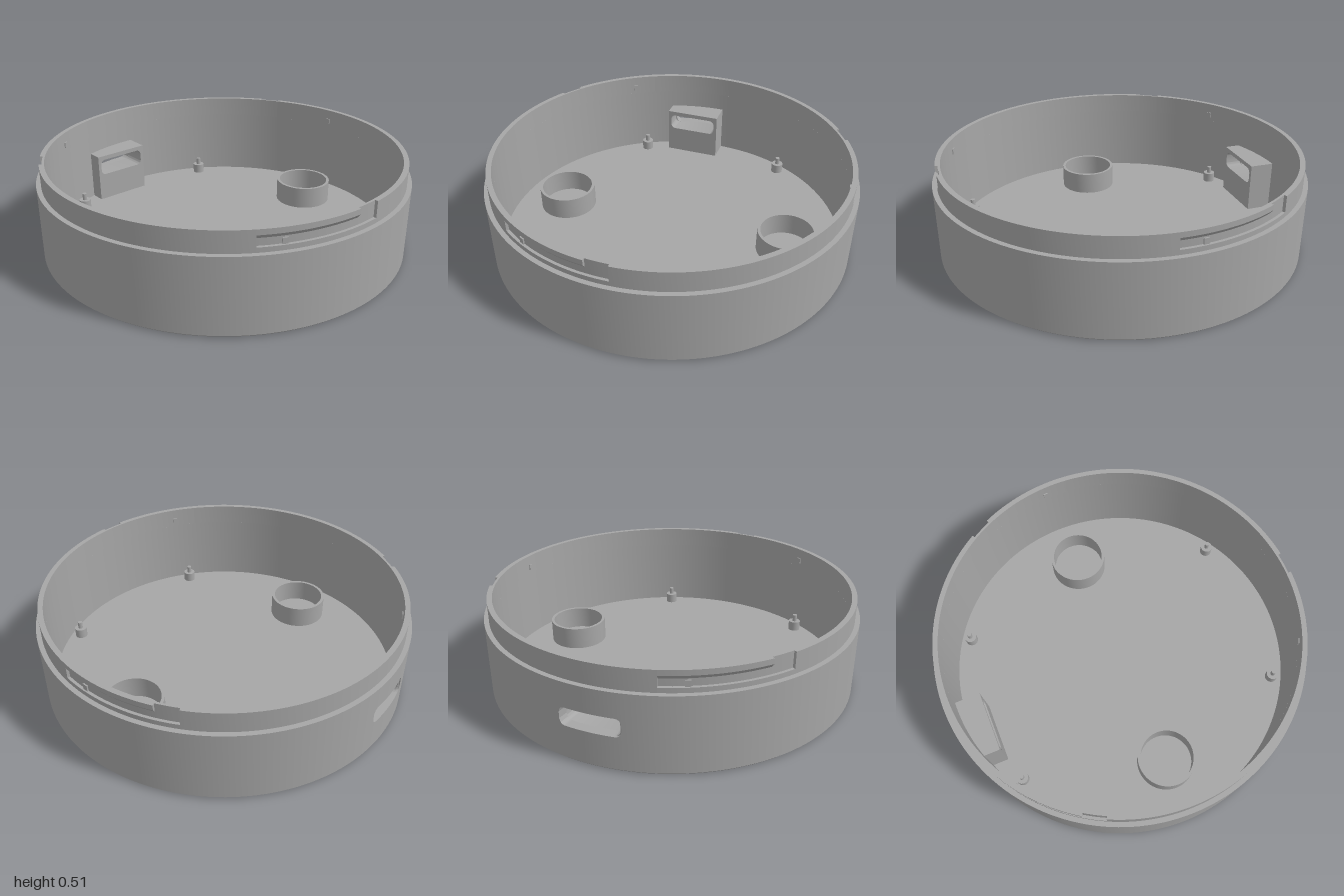
import * as THREE from 'three';
import { toCreasedNormals } from 'three/addons/utils/BufferGeometryUtils.js';

const RAD = Math.PI / 180;
const WALL_IN = 0.948, LIP_OUT = 0.975, RECESS = 0.96;
const FLOOR = 0.02, STEP = 0.405, TOP = 0.515;

// Sweeps a counter-clockwise [radius, y] profile around the y axis; the profile may depend on the angle.
function sweep(profileAt, from, to, steps) {
  const pos = [];
  const at = (i) => {
    const deg = from + ((to - from) * i) / steps, a = deg * RAD;
    return profileAt(deg).map(([r, y]) => [r * Math.cos(a), y, r * Math.sin(a)]);
  };
  for (let i = 0; i < steps; i++) {
    const p = at(i), q = at(i + 1);
    p.forEach((A, j) => {
      const k = (j + 1) % p.length;
      pos.push(...A, ...p[k], ...q[k], ...A, ...q[k], ...q[j]);
    });
  }
  if (to - from < 360) {
    for (const [i, deg] of [[0, from], [steps, to]]) {
      const ring = at(i);
      const flat = profileAt(deg).map(([r, y]) => new THREE.Vector2(r, y));
      for (const [a, b, c] of THREE.ShapeUtils.triangulateShape(flat, [])) {
        pos.push(...ring[a], ...(i ? ring[b] : ring[c]), ...(i ? ring[c] : ring[b]));
      }
    }
  }
  const g = new THREE.BufferGeometry();
  g.setAttribute('position', new THREE.Float32BufferAttribute(pos, 3));
  return toCreasedNormals(g, 0.45);
}

export function createModel() {
  const model = new THREE.Group();
  const grey = new THREE.MeshStandardMaterial({ color: 0xa6a6a6 });
  grey.name = 'grey plastic';

  const add = (name, geometry, parent = model) => {
    const mesh = new THREE.Mesh(geometry, grey);
    mesh.name = name;
    parent.add(mesh);
    return mesh;
  };
  const group = (name) => {
    const g = new THREE.Group();
    g.name = name;
    model.add(g);
    return g;
  };

  // Floor disc
  const floor = add('floor', new THREE.CylinderGeometry(0.955, 0.955, FLOOR, 128));
  floor.position.y = FLOOR / 2;

  // Outer wall, interrupted by a rounded port opening on the -x side
  const wall = group('outerWall');
  const port = { a0: 162.5, a1: 180, lo: 0.18, hi: 0.275, r: 0.03 };
  add('wall', sweep(() => [[WALL_IN, 0], [0.99, 0], [1, 0.01], [1, STEP], [WALL_IN, STEP]],
    port.a1, port.a0 + 360, 160), wall);
  const cornerRise = (deg) => {
    const d = Math.max(0, Math.min(deg - port.a0, port.a1 - deg)) * RAD;
    return d >= port.r ? 0 : port.r - Math.sqrt(port.r ** 2 - (port.r - d) ** 2);
  };
  add('wallBelowPort', sweep((deg) => {
    const y = port.lo + cornerRise(deg);
    return [[WALL_IN, 0], [0.99, 0], [1, 0.01], [1, y], [WALL_IN, y]];
  }, port.a0, port.a1, 48), wall);
  add('wallAbovePort', sweep((deg) => {
    const y = port.hi - cornerRise(deg);
    return [[WALL_IN, y], [1, y], [1, STEP], [WALL_IN, STEP]];
  }, port.a0, port.a1, 48), wall);

  // Stepped lip with three twist-lock slots: open entry, then a channel under a bevelled ledge
  const lip = group('lip');
  const plain = [[WALL_IN, STEP], [LIP_OUT, STEP], [LIP_OUT, TOP], [WALL_IN, TOP]];
  const entry = [[WALL_IN, STEP], [LIP_OUT, STEP], [LIP_OUT, 0.43], [RECESS, 0.43], [RECESS, TOP], [WALL_IN, TOP]];
  const channel = [[WALL_IN, STEP], [LIP_OUT, STEP], [LIP_OUT, 0.43], [RECESS, 0.43], [RECESS, 0.467],
    [LIP_OUT, 0.487], [LIP_OUT, TOP], [WALL_IN, TOP]];
  for (const start of [0, 120, 240]) {
    add('slotEntry', sweep(() => entry, start - 3.5, start + 3.5, 4), lip);
    add('slotChannel', sweep(() => channel, start + 3.5, start + 33.6, 16), lip);
    add('lipSection', sweep(() => plain, start + 33.6, start + 116.5, 40), lip);
    // Small locking stud passing through the wall
    add('lockingStud', sweep(() => [[0.942, 0.43], [0.967, 0.43], [0.967, 0.46], [0.942, 0.46]],
      start + 25.2, start + 26.8, 2), lip);
  }

  // Port housing: a block with a rounded tunnel, standing against the inside wall
  const block = new THREE.Shape();
  block.moveTo(-0.02, FLOOR - 0.01).lineTo(0.31, FLOOR - 0.01).lineTo(0.31, 0.3).lineTo(-0.02, 0.3).closePath();
  const [z0, z1, r] = [0, 0.292, port.r];
  const tunnel = new THREE.Path();
  tunnel.absarc(z0 + r, port.lo + r, r, 1.5 * Math.PI, Math.PI, true);
  tunnel.absarc(z0 + r, port.hi - r, r, Math.PI, Math.PI / 2, true);
  tunnel.absarc(z1 - r, port.hi - r, r, Math.PI / 2, 0, true);
  tunnel.absarc(z1 - r, port.lo + r, r, 0, -Math.PI / 2, true);
  tunnel.closePath();
  block.holes.push(tunnel);
  const housing = new THREE.ExtrudeGeometry(block, { depth: 0.138, bevelEnabled: false, curveSegments: 8 });
  housing.rotateY(-Math.PI / 2);
  add('portHousing', toCreasedNormals(housing, 0.5)).position.x = -0.81;

  // Two round collars on the floor
  const collar = sweep(() => [[0.144, FLOOR - 0.01], [0.16, FLOOR - 0.01], [0.16, 0.145], [0.144, 0.145]], 0, 360, 64);
  for (const z of [-0.66, 0.66]) add('collar', collar).position.z = z;

  // Four standoffs, each with a locating pin
  const standoff = new THREE.CylinderGeometry(0.034, 0.034, 0.06, 32);
  const pin = new THREE.CylinderGeometry(0.013, 0.013, 0.045, 24);
  for (const x of [-0.77, 0.77]) {
    for (const z of [-0.447, 0.447]) {
      const post = group('mountingPost');
      post.position.set(x, 0, z);
      add('standoff', standoff, post).position.y = 0.045;
      add('locatingPin', pin, post).position.y = 0.092;
    }
  }
  return model;
}
